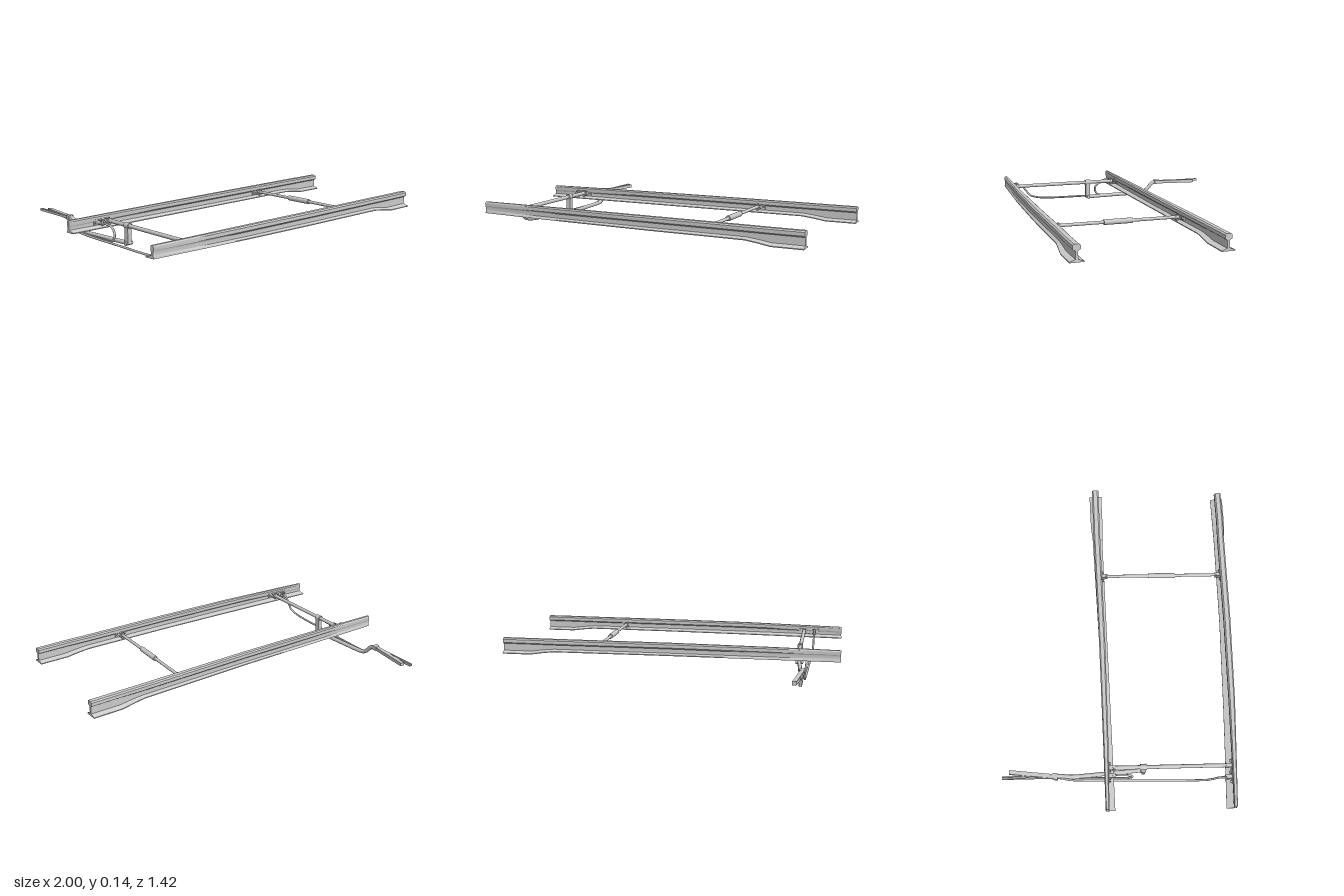
import * as THREE from 'three';
import { toCreasedNormals } from 'three/addons/utils/BufferGeometryUtils.js';

const mat = new THREE.MeshStandardMaterial({ color: 0xcccccc });
const V = (x, y, z) => new THREE.Vector3(x, y, z);

function add(group, name, geometry) {
  const mesh = new THREE.Mesh(geometry, mat);
  mesh.name = name;
  group.add(mesh);
  return mesh;
}

// Straight round bar between two points
function bar(group, name, a, b, r, sides = 14) {
  const d = b.clone().sub(a);
  const m = add(group, name, new THREE.CylinderGeometry(r, r, d.length(), sides));
  m.position.copy(a).add(b).multiplyScalar(0.5);
  m.quaternion.setFromUnitVectors(V(0, 1, 0), d.normalize());
  return m;
}

// Rectangular bar between two points
function flatBar(group, name, a, b, w, h) {
  const m = add(group, name, new THREE.BoxGeometry(w, h, a.distanceTo(b)));
  m.position.copy(a).add(b).multiplyScalar(0.5);
  m.lookAt(b);
  return m;
}

function box(group, name, x, y, z, w, h, d) {
  const m = add(group, name, new THREE.BoxGeometry(w, h, d));
  m.position.set(x, y, z);
  return m;
}

function pipe(group, name, pts, r) {
  const curve = new THREE.CatmullRomCurve3(pts, false, 'centripetal');
  return add(group, name, new THREE.TubeGeometry(curve, 72, r, 10));
}

// Rail outline: u points to the outer side, y is up
function railOutline({ bot, top, fi, fo, hi, ho, web }) {
  return [
    [-fi, bot], [fo, bot], [fo, bot + 0.005], [web, bot + 0.015],
    [web, top - 0.034], [ho, top - 0.026], [ho, top - 0.007], [ho * 0.6, top],
    [-hi * 0.6, top], [-hi, top - 0.007], [-hi, top - 0.026], [-web, top - 0.034],
    [-web, bot + 0.015], [-fi, bot + 0.005],
  ];
}

// Loft rail outlines along x; side is the direction of the outer face in z
function rail(group, name, stations, side) {
  const pos = [], idx = [];
  const rings = stations.map(([x, z, bot, top, fi, fo, hi, ho, web]) =>
    railOutline({ bot, top, fi, fo, hi, ho, web }).map(([u, y]) => V(x, y, z + side * u)));
  const n = rings[0].length;
  rings.flat().forEach((p) => pos.push(p.x, p.y, p.z));
  const tri = (a, b, c) => (side > 0 ? idx.push(a, b, c) : idx.push(a, c, b));
  for (let s = 0; s < rings.length - 1; s++) {
    for (let i = 0; i < n; i++) {
      const a = s * n + i, b = s * n + (i + 1) % n;
      tri(a, a + n, b);
      tri(b, a + n, b + n);
    }
  }
  // End caps
  for (const s of [0, rings.length - 1]) {
    const flat = rings[s].map((p) => new THREE.Vector2(side * p.z, p.y));
    for (const [a, b, c] of THREE.ShapeUtils.triangulateShape(flat, [])) {
      if (s === 0) tri(a, b, c);
      else tri(s * n + a, s * n + c, s * n + b);
    }
  }
  const g = new THREE.BufferGeometry();
  g.setAttribute('position', new THREE.Float32BufferAttribute(pos, 3));
  g.setIndex(idx);
  add(group, name, toCreasedNormals(g, 0.5));
}

// Bracket that pins a rod end to a blade
function bracket(group, x, z, dir, y = 0.11) {
  const g = new THREE.Group();
  g.name = 'rodBracket';
  box(g, 'bracketPlate', 0, 0, 0, 0.07, 0.03, 0.008);
  for (const s of [-1, 1]) {
    box(g, 'bracketFork', 0, s * 0.011, dir * 0.02, 0.022, 0.005, 0.04);
    bar(g, 'bracketBolt', V(s * 0.026, 0, 0), V(s * 0.026, 0, dir * 0.013), 0.007, 6);
  }
  bar(g, 'bracketPin', V(0, -0.019, dir * 0.03), V(0, 0.019, dir * 0.03), 0.006, 8);
  g.position.set(x, y, z);
  group.add(g);
}

export function createModel() {
  const root = new THREE.Group();
  root.name = 'railSwitch';

  // Blades: x, z, bottom, top, foot in/out, head in/out, half web
  rail(root, 'frontBlade', [
    [-1.00, 0.567, 0.075, 0.141, 0.046, 0.011, 0.010, 0.010, 0.007],
    [-0.70, 0.590, 0.075, 0.144, 0.045, 0.014, 0.014, 0.013, 0.008],
    [-0.40, 0.611, 0.075, 0.147, 0.044, 0.018, 0.018, 0.017, 0.009],
    [0.10, 0.637, 0.075, 0.148, 0.038, 0.022, 0.020, 0.020, 0.009],
    [0.62, 0.656, 0.075, 0.148, 0.035, 0.025, 0.020, 0.020, 0.009],
    [0.69, 0.660, 0.068, 0.148, 0.036, 0.031, 0.020, 0.020, 0.008],
    [0.76, 0.664, 0.058, 0.148, 0.037, 0.036, 0.020, 0.020, 0.007],
    [0.93, 0.668, 0.058, 0.148, 0.037, 0.037, 0.020, 0.020, 0.007],
  ], 1);
  rail(root, 'backBlade', [
    [-0.97, -0.134, 0.075, 0.141, 0.042, 0.011, 0.010, 0.010, 0.007],
    [-0.60, -0.121, 0.075, 0.145, 0.036, 0.015, 0.015, 0.014, 0.008],
    [0.00, -0.104, 0.075, 0.148, 0.030, 0.018, 0.018, 0.018, 0.009],
    [0.69, -0.094, 0.075, 0.148, 0.032, 0.026, 0.020, 0.020, 0.009],
    [0.76, -0.092, 0.068, 0.148, 0.035, 0.032, 0.020, 0.020, 0.008],
    [0.83, -0.090, 0.058, 0.148, 0.037, 0.036, 0.020, 0.020, 0.007],
    [1.00, -0.086, 0.058, 0.148, 0.037, 0.037, 0.020, 0.020, 0.007],
  ], -1);

  // Spacer rod with adjusting sleeve
  const s0 = V(0.395, 0.113, 0.62), s1 = V(0.43, 0.113, -0.07);
  bar(root, 'spacerRod', s0, s1, 0.009);
  bar(root, 'spacerSleeve', s0.clone().lerp(s1, 0.38), s0.clone().lerp(s1, 0.61), 0.015);
  bracket(root, 0.395, 0.636, -1);
  bracket(root, 0.43, -0.086, 1);

  // Tie rod between the blade tips
  bar(root, 'tieRod', V(-0.766, 0.113, 0.55), V(-0.737, 0.113, -0.09), 0.011);
  bracket(root, -0.768, 0.575, -1);
  bracket(root, -0.737, -0.116, 1);

  // Drop arm hanging from the tie rod
  const ax = -0.744;
  box(root, 'dropArm', ax, 0.066, 0.08, 0.026, 0.104, 0.028);
  bar(root, 'armCollar', V(ax, 0.113, 0.063), V(ax, 0.113, 0.097), 0.017);
  bar(root, 'armPin', V(ax - 0.02, 0.017, 0.08), V(ax + 0.026, 0.017, 0.08), 0.011, 8);

  // Throw rod with an upward offset
  const tx = (z) => -0.741 - (z - 0.08) * -0.031;
  const throwPath = [[0.08, 0.017], [-0.1, 0.017], [-0.28, 0.017], [-0.32, 0.021],
    [-0.355, 0.045], [-0.38, 0.073], [-0.41, 0.083], [-0.45, 0.08]];
  pipe(root, 'throwRod', throwPath.map(([z, y]) => V(tx(z), y, z)), 0.012);
  flatBar(root, 'throwRodEnd', V(tx(-0.4), 0.081, -0.43), V(-0.717, 0.08, -0.67), 0.023, 0.02);
  box(root, 'throwRodClamp', tx(-0.42), 0.082, -0.42, 0.032, 0.024, 0.02);

  // Thin detector rods, one for each blade
  const dx = (z) => -0.794 - z * 0.069;
  const rise = [[-0.28, 0.013], [-0.32, 0.018], [-0.355, 0.042], [-0.38, 0.07],
    [-0.41, 0.081], [-0.45, 0.081]];
  const frontPath = [[0.53, 0.105], [0.50, 0.098], [0.47, 0.062], [0.445, 0.035],
    [0.40, 0.021], [0.33, 0.014], [0.08, 0.012], ...rise];
  pipe(root, 'frontDetectorRod', frontPath.map(([z, y]) => V(dx(z), y, z)), 0.006);
  const backPath = [[-0.075, 0.103], [-0.02, 0.098], [0.008, 0.08], [0.016, 0.056],
    [0.008, 0.032], [-0.02, 0.015], [-0.08, 0.012], ...rise];
  pipe(root, 'backDetectorRod', backPath.map(([z, y]) => V(dx(z) + 0.013, y, z)), 0.006);
  flatBar(root, 'frontDetectorEnd', V(dx(-0.43), 0.081, -0.43), V(-0.752, 0.081, -0.71), 0.007, 0.013);
  flatBar(root, 'backDetectorEnd', V(dx(-0.43) + 0.013, 0.081, -0.43), V(-0.741, 0.081, -0.71), 0.007, 0.013);
  box(root, 'detectorClamp', dx(-0.41) + 0.006, 0.082, -0.41, 0.036, 0.024, 0.018);

  // Detector rod brackets on the blades
  bracket(root, dx(0.53), 0.568, -1, 0.108);
  bracket(root, dx(-0.08) + 0.008, -0.118, 1, 0.108);

  return root;
}
